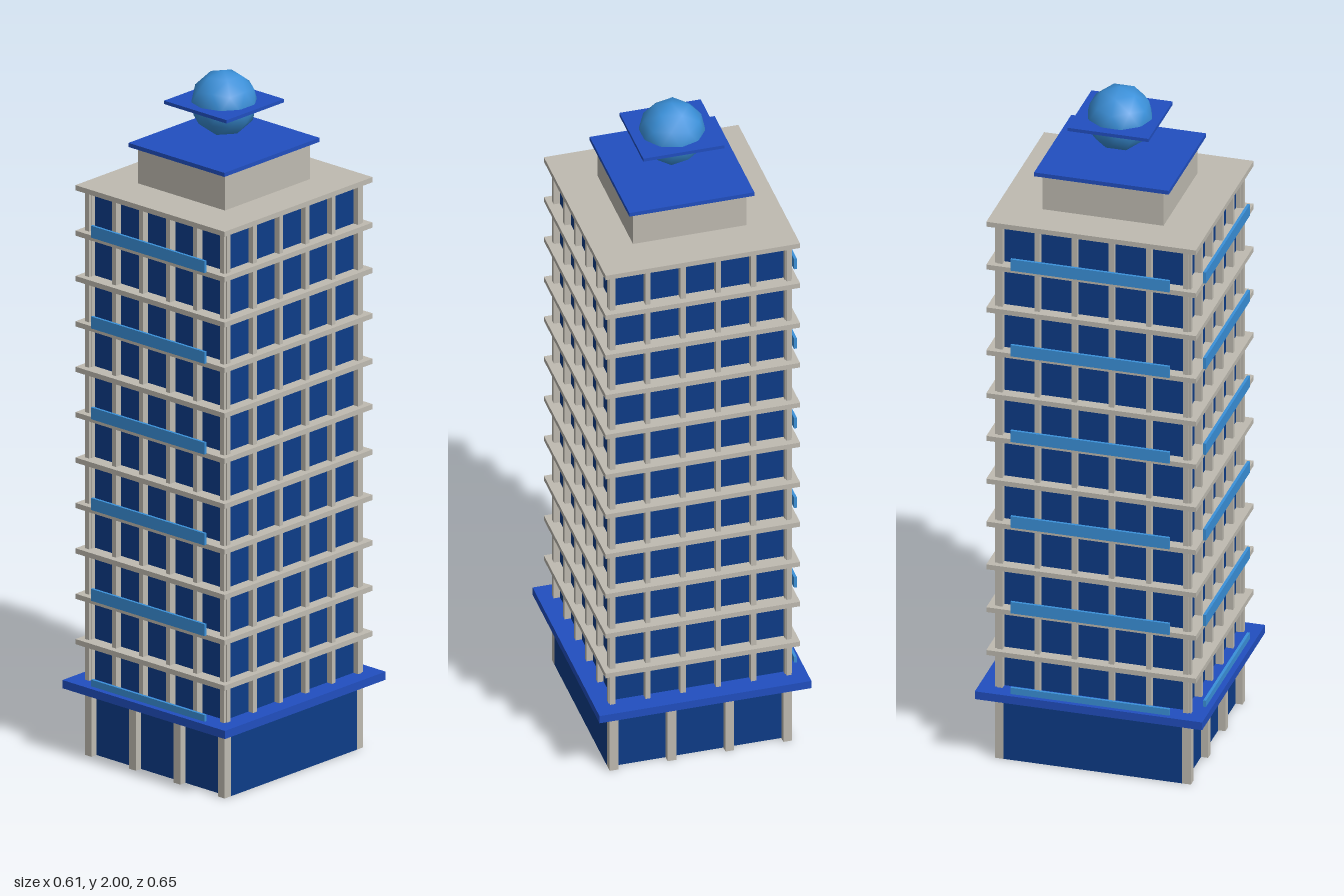
import * as THREE from 'three';

const mat = (name, color) => {
  const m = new THREE.MeshStandardMaterial({ color });
  m.name = name;
  return m;
};

export function createModel() {
  const concrete = mat('warm grey concrete', 0xbfbbb1);
  const glass = mat('dark blue glass', 0x0d3c88);
  const trim = mat('royal blue trim', 0x214fc0);
  const panelBlue = mat('light blue panel', 0x3a90d9);

  const tower = new THREE.Group();
  tower.name = 'officeTower';

  // Box given by its size, its bottom height and its centre
  const box = (name, material, w, h, d, x, y0, z) => {
    const mesh = new THREE.Mesh(new THREE.BoxGeometry(w, h, d), material);
    mesh.name = name;
    mesh.position.set(x, y0 + h / 2, z);
    tower.add(mesh);
  };

  const base = 0.2, storey = 0.4 / 3, floors = 11;
  const roof = base + floors * storey;

  // Ground floor with pillars on front and back
  box('lobby', glass, 0.525, base, 0.524, 0, 0, 0);
  for (const side of [-1, 1])
    for (let i = -1.5; i <= 1.5; i++)
      box('lobbyPillar', concrete, 0.025, base, 0.025, i * 0.1667, 0, side * 0.27);
  box('canopy', trim, 0.61, 0.024, 0.655, 0, 0.197, 0);

  // Glass shaft with vertical mullions on all four sides
  box('glassShaft', glass, 0.492, roof - base, 0.524, 0, base, 0);
  for (const side of [-1, 1])
    for (let i = -2.5; i <= 2.5; i++) {
      box('mullion', concrete, 0.015, roof - base, 0.022, i * 0.1015, base, side * 0.272);
      box('mullion', concrete, 0.02, roof - base, 0.015, side * 0.254, base, i * 0.107);
    }

  // Floor slabs, with balcony panels on every second floor
  for (let i = 0; i <= floors; i++) {
    const y = base + i * storey;
    box(i === floors ? 'roofSlab' : 'floorSlab', concrete, 0.56, 0.015, 0.604, 0, y - 0.0075, 0);
    if (i % 2 === 0) {
      box('frontPanel', panelBlue, 0.426, 0.035, 0.008, 0, y + 0.0055, 0.307);
      box('sidePanel', panelBlue, 0.008, 0.035, 0.458, -0.288, y + 0.0055, 0);
    }
  }

  // Penthouse and its cap
  box('penthouse', concrete, 0.327, 0.115, 0.348, 0, roof, 0);
  box('penthouseCap', trim, 0.36, 0.012, 0.388, 0, 1.782, 0);

  // Faceted globe floating above the roof, with a square plate through it
  const globeGeometry = new THREE.IcosahedronGeometry(0.094, 1);
  globeGeometry.rotateZ(Math.atan(2 / (1 + Math.sqrt(5)))); // one vertex straight up
  const globe = new THREE.Mesh(globeGeometry, panelBlue);
  globe.name = 'globe';
  globe.position.y = 1.906;
  tower.add(globe);
  box('globePlate', trim, 0.234, 0.01, 0.234, 0, 1.903, 0);

  return tower;
}
